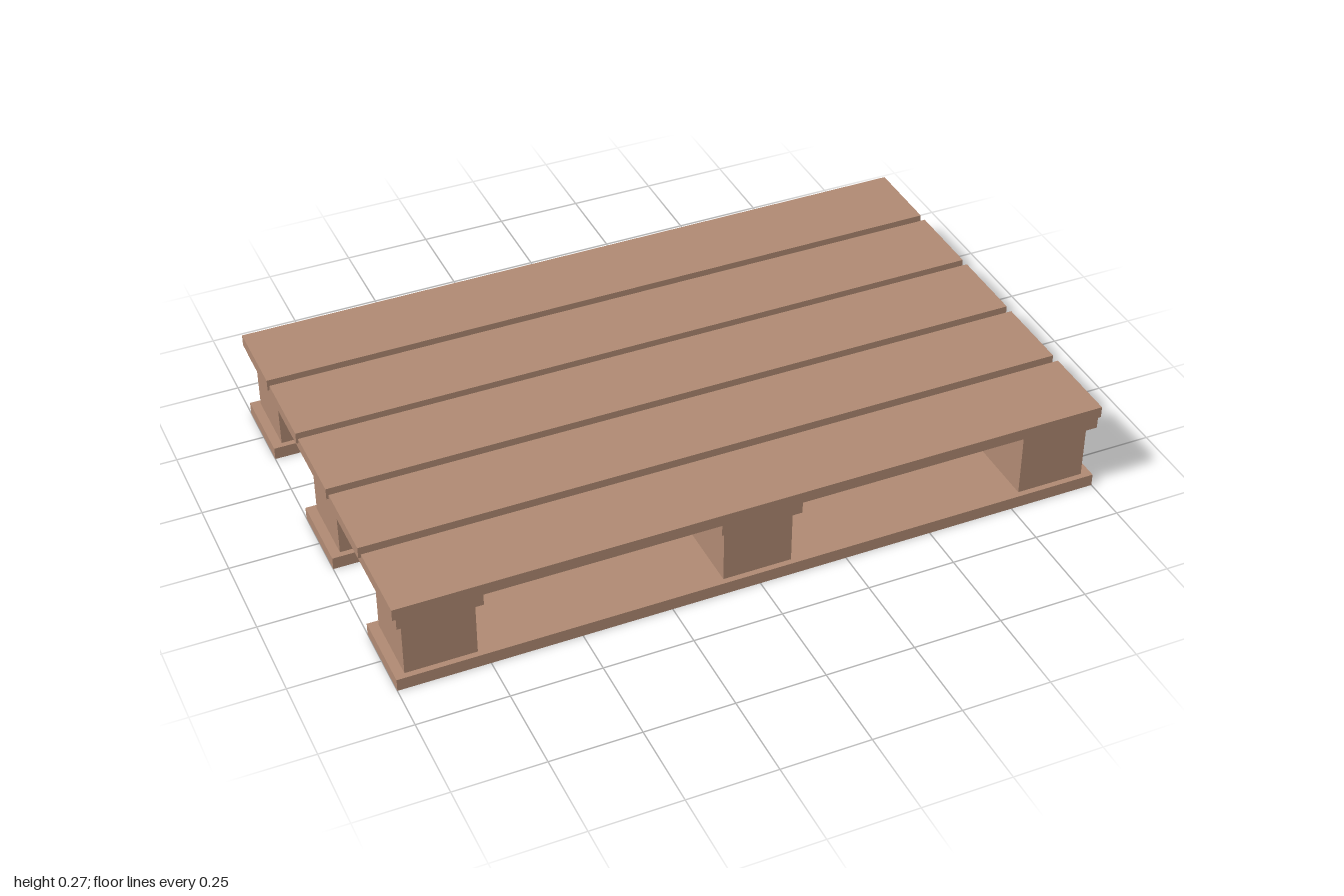
import * as THREE from 'three';

export function createModel() {
  const pallet = new THREE.Group();
  pallet.name = 'pallet';
  const wood = new THREE.MeshStandardMaterial({ color: 0xb08a73 });
  wood.name = 'wood';

  // Box plank given by its centre in x and z, and its bottom and top in y
  function plank(name, x, z, width, depth, y0, y1) {
    const mesh = new THREE.Mesh(new THREE.BoxGeometry(width, y1 - y0, depth), wood);
    mesh.name = name;
    mesh.position.set(x, (y0 + y1) / 2, z);
    pallet.add(mesh);
  }

  // Five deck boards across the top
  for (const z of [-0.507, -0.253, 0, 0.254, 0.509]) {
    plank('deckBoard', 0, z, 2, 0.229, 0.237, 0.27);
  }

  // Three cross boards under the deck
  for (const x of [-0.876, 0, 0.879]) {
    plank('crossBoard', x, 0, 0.228, 1.242, 0.202, 0.237);
  }

  // Three bottom runners, each carrying three blocks
  for (const z of [-0.507, 0, 0.505]) {
    plank('bottomRunner', 0, z, 2, 0.228, 0, 0.036);
    for (const x of [-0.876, -0.002, 0.875]) {
      plank('spacerBlock', x, z, 0.195, 0.195, 0.036, 0.202);
    }
  }

  return pallet;
}
